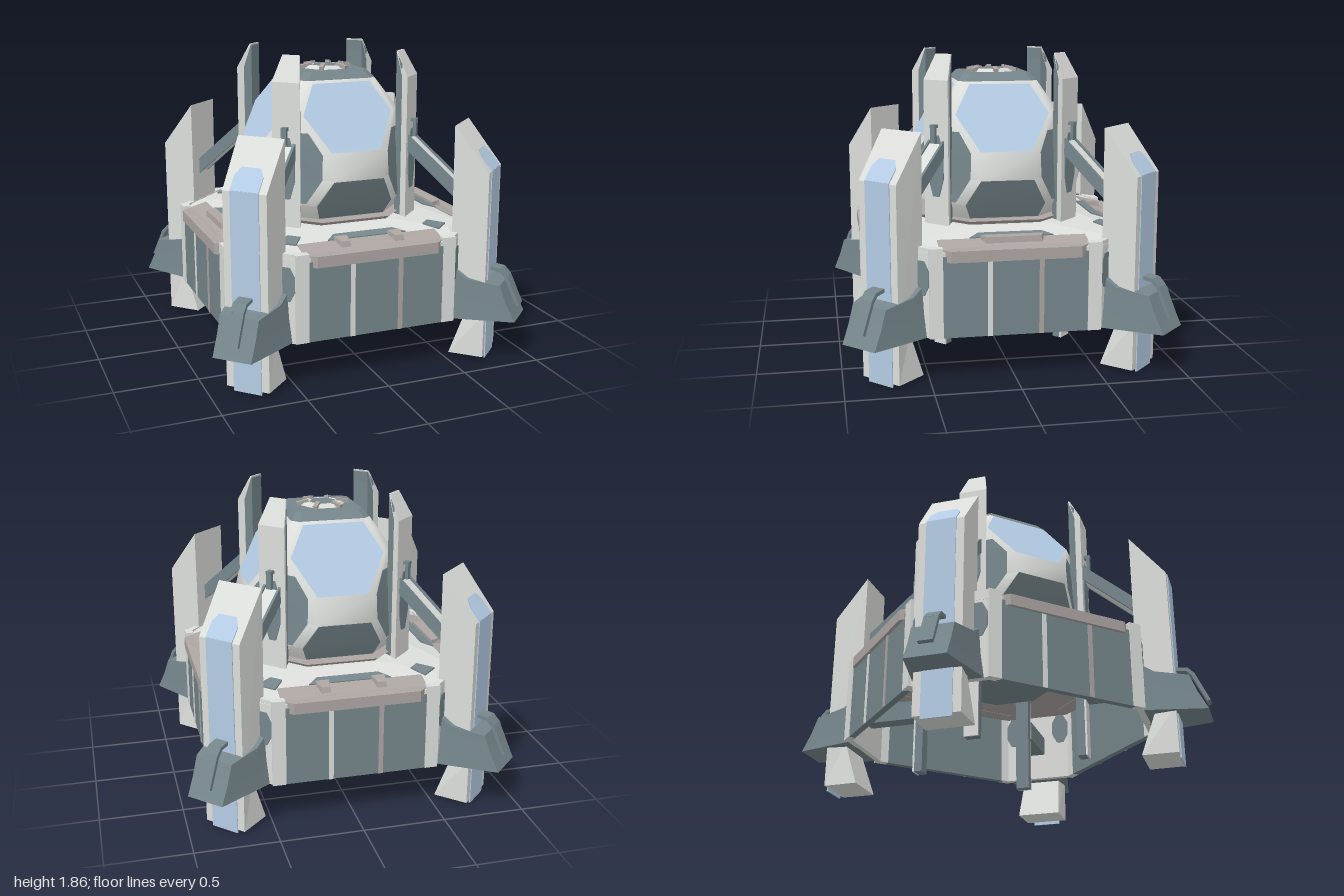
import * as THREE from 'three';
import { toCreasedNormals } from 'three/addons/utils/BufferGeometryUtils.js';

const mat = (name, color) => {
  const m = new THREE.MeshStandardMaterial({ color });
  m.name = name;
  return m;
};

export function createModel() {
  const white = mat('pale hull', 0xdcdedb);
  const slate = mat('slate panel', 0x75868b);
  const blue = mat('pale blue glass', 0xb4cce4);
  const brown = mat('warm grey trim', 0xaca5a2);

  const model = new THREE.Group();
  model.name = 'domedStation';

  const add = (parent, name, geo, material, x = 0, y = 0, z = 0) => {
    const m = new THREE.Mesh(geo, material);
    m.name = name;
    m.position.set(x, y, z);
    parent.add(m);
    return m;
  };
  const box = (parent, name, material, w, h, d, x, y, z) =>
    add(parent, name, new THREE.BoxGeometry(w, h, d), material, x, y, z);

  // Capped skin through rings of points, lowest ring first, anticlockwise from above
  const loft = (rings, crease = 0) => {
    const pos = [];
    const tri = (...p) => p.forEach((q) => pos.push(...q));
    const mid = (r) => [0, 1, 2].map((k) => r.reduce((s, p) => s + p[k], 0) / r.length);
    const n = rings[0].length, last = rings[rings.length - 1];
    const c0 = mid(rings[0]), c1 = mid(last);
    for (let i = 0; i < n; i++) {
      const j = (i + 1) % n;
      for (let k = 0; k + 1 < rings.length; k++) {
        const a = rings[k], b = rings[k + 1];
        tri(a[i], a[j], b[j], a[i], b[j], b[i]);
      }
      tri(c0, rings[0][j], rings[0][i]);
      tri(c1, last[i], last[j]);
    }
    const g = new THREE.BufferGeometry();
    g.setAttribute('position', new THREE.Float32BufferAttribute(pos, 3));
    g.computeVertexNormals();
    return crease ? toCreasedNormals(g, crease) : g;
  };
  // Octagon with face distance r and face half-width w
  const oct = (y, r, w) => [[r, w], [r, -w], [w, -r], [-w, -r], [-r, -w], [-r, w], [-w, r], [w, r]]
    .map(([x, z]) => [x, y, z]);
  // Trapezoid from z0 (half-width v0) out to z1 (half-width v1), heights y0 and y1
  const quad = (v0, z0, v1, z1, y0, y1 = y0) =>
    [[v1, y1, z1], [v0, y0, z0], [-v0, y0, z0], [-v1, y1, z1]];
  const shift = (ring, dx, dy) => ring.map(([x, y, z]) => [x + dx, y + dy, z]);
  const plate = (parent, name, material, ring, t = 0.007, dx = 0) =>
    add(parent, name, loft([shift(ring, dx, -0.002), shift(ring, dx, t)]), material);
  // Straight bar between two (z, y) points
  const beam = (parent, name, material, a, b, w, t, x = 0) => {
    const dz = b[0] - a[0], dy = b[1] - a[1];
    const m = box(parent, name, material, w, t, Math.hypot(dz, dy), x, (a[1] + b[1]) / 2, (a[0] + b[0]) / 2);
    m.rotation.x = -Math.atan2(dy, dz);
    return m;
  };
  // Bent face strip through rows of [y, z, half-width], top row first
  const facePatch = (parent, name, material, rows) => {
    const s = new THREE.PlaneGeometry(1, 1, 1, rows.length - 1);
    const p = s.attributes.position;
    rows.forEach(([y, z, w], i) => {
      p.setXYZ(2 * i, -w, y, z);
      p.setXYZ(2 * i + 1, w, y, z);
    });
    s.computeVertexNormals();
    return add(parent, name, s, material);
  };
  // Upright eight-sided patch facing +z and -z
  const patch = (parent, name, material, rx, ry, depth, x, y, z) => {
    const g = new THREE.CylinderGeometry(1, 1, depth, 8).rotateY(Math.PI / 8).rotateX(Math.PI / 2);
    return add(parent, name, g.scale(rx, ry, 1), material, x, y, z);
  };

  // Deck and its underside
  add(model, 'deck', loft([oct(0.74, 0.82, 0.5), oct(0.775, 0.82, 0.5), oct(0.81, 0.67, 0.54), oct(0.85, 0.5, 0.25)]), white);
  add(model, 'deckUnderside', loft([oct(0.72, 0.79, 0.48), oct(0.741, 0.79, 0.48)]), brown);
  add(model, 'lowerHub', loft([oct(0.62, 0.32, 0.14), oct(0.725, 0.42, 0.19)]), slate);

  // Pod on a flared seat
  add(model, 'podSeat', loft([oct(0.81, 0.42, 0.2), oct(0.875, 0.51, 0.22)]), brown);
  add(model, 'podShell', loft([oct(0.85, 0.41, 0.2), oct(0.97, 0.475, 0.245), oct(1.13, 0.545, 0.16),
    oct(1.28, 0.503, 0.19), oct(1.5, 0.361, 0.3), oct(1.685, 0.245, 0.2)], 0.9), white);
  add(model, 'podCap', loft([oct(1.675, 0.25, 0.205), oct(1.69, 0.24, 0.2), oct(1.73, 0.205, 0.17)]), slate);

  // Hub on the cap
  const hex = (name, r0, r1, h, material, y) => {
    const g = new THREE.CylinderGeometry(r0, r1, h, 6).rotateY(Math.PI / 6).toNonIndexed();
    g.computeVertexNormals();
    add(model, name, g, material, 0, y, 0);
  };
  hex('hubRing', 0.125, 0.145, 0.02, white, 1.738);
  hex('hubCore', 0.08, 0.085, 0.012, slate, 1.747);
  for (let i = 0; i < 6; i++) {
    const clip = new THREE.Group();
    clip.name = 'hubClip';
    clip.rotation.y = (i * Math.PI) / 3 + Math.PI / 2;
    beam(clip, 'hubClipBar', brown, [0.09, 1.755], [0.165, 1.74], 0.026, 0.022);
    model.add(clip);
  }

  // Four flat sides
  for (let k = 0; k < 4; k++) {
    const side = new THREE.Group();
    side.name = 'side';
    side.rotation.y = (k * Math.PI) / 2;
    model.add(side);
    box(side, 'wall', slate, 0.88, 0.48, 0.04, 0, 0.51, 0.808);
    box(side, 'paleStripe', white, 0.028, 0.45, 0.006, -0.155, 0.495, 0.83);
    box(side, 'warmStripe', brown, 0.028, 0.45, 0.006, 0.148, 0.495, 0.83);
    const rim = (v, z, y0, y1) => [[v - 0.06, y1, 0.85], [v, y1, 0.79], [v, y0, z], [-v, y0, z], [-v, y1, 0.79], [0.06 - v, y1, 0.85]];
    add(side, 'rim', loft([rim(0.44, 0.68, 0.718, 0.718), rim(0.44, 0.675, 0.815, 0.785)]), brown);
    for (const s of [-1, 1]) {
      box(side, 'cornerColumn', white, 0.08, 0.53, 0.05, s * 0.465, 0.535, 0.808);
    }
    plate(side, 'deckBand', slate, quad(0.19, 0.61, 0.25, 0.675, 0.826, 0.814));
    if (k % 2) {
      add(side, 'rimStep', loft([quad(0.19, 0.68, 0.17, 0.75, 0.79), quad(0.19, 0.68, 0.16, 0.745, 0.835)]), brown);
    } else {
      for (const s of [-1, 1]) {
        add(side, 'rimClip', loft([shift(quad(0.045, 0.67, 0.03, 0.765, 0.79), s * 0.17, 0),
          shift(quad(0.04, 0.67, 0.025, 0.755, 0.838, 0.828), s * 0.17, 0)]), brown);
      }
    }
    facePatch(side, 'podWindow', blue, [[1.67, 0.264, 0.185], [1.5, 0.371, 0.285], [1.29, 0.504, 0.155]]);
    facePatch(side, 'podLowerPanel', slate, [[1.125, 0.551, 0.16], [0.97, 0.483, 0.242], [0.88, 0.435, 0.21]]);
  }

  // Four diagonal corners; +z points outward in each group
  for (let k = 0; k < 4; k++) {
    const corner = new THREE.Group();
    corner.name = 'corner';
    corner.rotation.y = Math.PI / 4 + (k * Math.PI) / 2;
    model.add(corner);

    // Hull panel with patches on both faces
    box(corner, 'cornerPanel', white, 0.46, 0.53, 0.04, 0, 0.535, 0.912);
    for (const s of [-1, 1]) patch(corner, 'cornerPanelPatch', slate, 0.06, 0.11, 0.05, s * 0.165, 0.62, 0.912);
    plate(corner, 'deckPatch', slate, quad(0.04, 0.71, 0.065, 0.82, 0.831, 0.818), 0.007, k % 2 ? 0.11 : -0.11);
    box(corner, 'innerBracket', slate, 0.1, 0.12, 0.36, 0, 0.5, 0.73);

    // Pylon with flared foot and glass strip
    add(corner, 'pylonFoot', loft([quad(0.14, 0.894, 0.1365, 1.108, 0.02),
      quad(0.12, 0.99, 0.1365, 1.108, 0.3)]), white);
    add(corner, 'pylon', loft([quad(0.14, 0.894, 0.1365, 1.108, 0.3),
      quad(0.145, 0.894, 0.1365, 1.108, 1.45, 1.18)]), white);
    box(corner, 'pylonGlass', blue, 0.178, 1.185, 0.009, 0, 0.5925, 1.109);
    plate(corner, 'pylonGlassTop', blue, [[0.089, 1.18, 1.112], [0.089, 1.255, 1.049], [0.06, 1.295, 1.017],
      [-0.06, 1.295, 1.017], [-0.089, 1.255, 1.049], [-0.089, 1.18, 1.112]]);

    // Flared collar round the pylon, with a bent handle
    const collar = (y0, y1, y2, v, u) => [[v[2], y2, u], [v[1], y1, 1.0], [v[0], y0, 0.925],
      [-v[0], y0, 0.925], [-v[1], y1, 1.0], [-v[2], y2, u]];
    add(corner, 'collar', loft([collar(0.27, 0.27, 0.27, [0.2, 0.185, 0.12], 1.294),
      collar(0.42, 0.4, 0.38, [0.18, 0.17, 0.121], 1.238),
      collar(0.57, 0.52, 0.49, [0.17, 0.162, 0.122], 1.195)], 0.9), slate);
    beam(corner, 'handleTop', slate, [1.105, 0.57], [1.18, 0.56], 0.085, 0.022);
    beam(corner, 'handleBend', slate, [1.175, 0.563], [1.215, 0.52], 0.085, 0.022);
    beam(corner, 'handleGrip', slate, [1.21, 0.528], [1.29, 0.35], 0.085, 0.022);

    // Fin beside the pod: slate inner half, pale outer half, thin lower leg
    add(corner, 'finInner', loft([quad(0.053, 0.49, 0.072, 0.535, 0.78),
      quad(0.053, 0.49, 0.072, 0.535, 1.785), quad(0.053, 0.488, 0.053, 0.492, 1.85)]), slate);
    add(corner, 'finOuter', loft([quad(0.073, 0.535, 0.09, 0.575, 0.78),
      quad(0.073, 0.535, 0.09, 0.575, 1.71), quad(0.055, 0.49, 0.055, 0.5, 1.86)]), white);
    box(corner, 'finLeg', slate, 0.085, 0.7, 0.05, 0, 0.44, 0.522);
    box(corner, 'finLegFace', white, 0.085, 0.7, 0.012, 0, 0.44, 0.553);
    patch(corner, 'finPatch', slate, 0.06, 0.2, 0.008, 0, 1.2, 0.577);
    facePatch(corner, 'podPatch', slate, [[1.4, 0.48, 0.1], [1.28, 0.496, 0.2], [1.13, 0.504, 0.2], [0.98, 0.517, 0.1]]);

    // Strut from fin to pylon, with rails and a hook
    beam(corner, 'strut', white, [0.54, 1.33], [0.92, 1.0], 0.09, 0.06);
    for (const s of [-1, 1]) beam(corner, 'strutRail', slate, [0.54, 1.335], [0.92, 1.005], 0.016, 0.075, s * 0.052);
    box(corner, 'strutHook', slate, 0.035, 0.1, 0.02, 0, 1.39, 0.6);
    box(corner, 'strutHookTip', slate, 0.035, 0.02, 0.045, 0, 1.44, 0.59);
  }
  return model;
}
